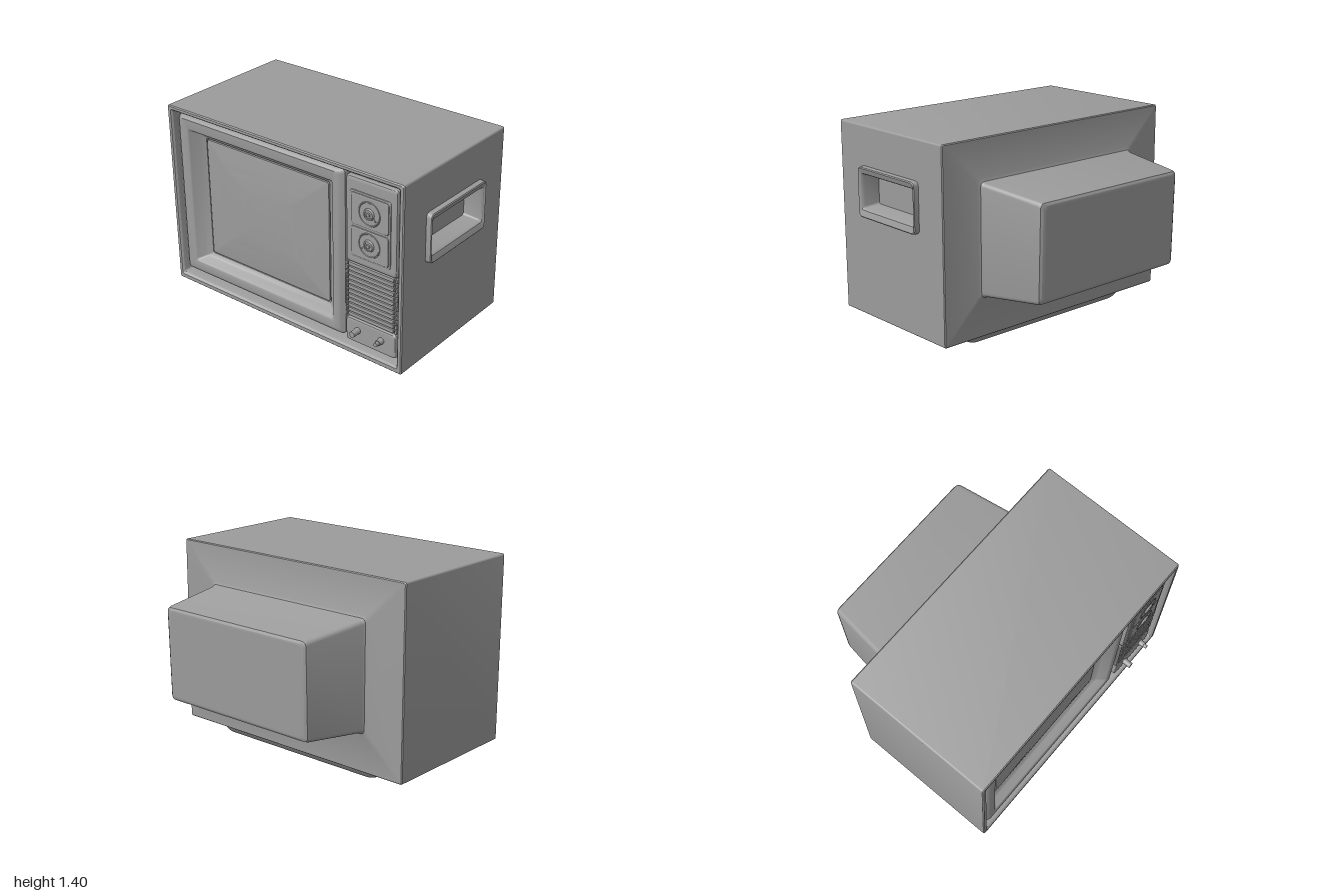
import * as THREE from 'three';
import { toCreasedNormals } from 'three/addons/utils/BufferGeometryUtils.js';

const N = 4; // segments per rounded corner

// Rounded rectangle [x0, x1, y0, y1, z, radius, tilt], counter-clockwise from +z
function ringPoints([x0, x1, y0, y1, z, r = 0.015, tilt = 0]) {
  const pts = [];
  const corners = [[x1 - r, y0 + r], [x1 - r, y1 - r], [x0 + r, y1 - r], [x0 + r, y0 + r]];
  corners.forEach(([cx, cy], k) => {
    for (let i = 0; i <= N; i++) {
      const a = (k - 1 + i / N) * Math.PI / 2;
      const y = cy + r * Math.sin(a);
      pts.push(new THREE.Vector3(cx + r * Math.cos(a), y, z + tilt * (y - (y0 + y1) / 2)));
    }
  });
  return pts;
}

// Skin through rings, running from the inside front, over the rim, to the back
function loft(rings, { start = true, end = false, skip = () => false } = {}) {
  const R = rings.map(ringPoints), out = [];
  const tri = (...p) => p.forEach(v => out.push(v.x, v.y, v.z));
  const M = R[0].length;
  const band = (A, B, skipSide = () => false) => {
    for (let j = 0; j < M; j++) {
      if (skipSide(j)) continue;
      const k = (j + 1) % M;
      tri(A[j], B[j], A[k]);
      tri(A[k], B[j], B[k]);
    }
  };
  for (let i = 0; i < R.length - 1; i++) band(R[i], R[i + 1], j => skip(i, j));
  // Caps have a narrow border so that their middle shades flat
  const cap = (ring, flip) => {
    const c = ring.reduce((s, p) => s.add(p), new THREE.Vector3()).divideScalar(M);
    const inner = ring.map(p => p.clone().lerp(c, 0.05));
    flip ? band(ring, inner) : band(inner, ring);
    for (let j = 0; j < M; j++) {
      const k = (j + 1) % M;
      flip ? tri(c, inner[k], inner[j]) : tri(c, inner[j], inner[k]);
    }
  };
  if (start) cap(R[0], false);
  if (end) cap(R[R.length - 1], true);
  const g = new THREE.BufferGeometry();
  g.setAttribute('position', new THREE.Float32BufferAttribute(out, 3));
  return toCreasedNormals(g, 0.5);
}

// Raised plate with a softened front edge
function plate(x0, x1, y0, y1, front, back, b = 0.012, r = 0.02) {
  const h = b * 0.35;
  return loft([
    [x0 + b, x1 - b, y0 + b, y1 - b, front, r],
    [x0 + h, x1 - h, y0 + h, y1 - h, front - h, r],
    [x0, x1, y0, y1, front - b, r],
    [x0, x1, y0, y1, back, r],
  ]);
}

function rectPath(P, x0, x1, y0, y1) {
  return new P([[x0, y0], [x1, y0], [x1, y1], [x0, y1]].map(([x, y]) => new THREE.Vector2(x, y)));
}

export function createModel() {
  const root = new THREE.Group();
  const mat = new THREE.MeshStandardMaterial({ color: 0x9c9c9c });
  const add = (name, geo, parent = root) => {
    const m = new THREE.Mesh(geo, mat);
    m.name = name;
    parent.add(m);
    return m;
  };

  // Cabinet: recessed front, rim, box, shallow sloped back and tube housing
  const RIM = 5;
  add('cabinet', loft([
    [-0.955, 0.915, 0.125, 1.36, 0.6],
    [-0.956, 0.916, 0.124, 1.361, 0.745],
    [-0.961, 0.921, 0.117, 1.366, 0.768],
    [-0.972, 0.932, 0.104, 1.376, 0.78],
    [-0.993, 0.953, 0.077, 1.394, 0.78],
    [-1, 0.96, 0.07, 1.401, 0.773, 0.012],
    [-1, 0.96, 0.07, 1.401, -0.299, 0.012],
    [-0.994, 0.954, 0.076, 1.395, -0.306, 0.012],
    [-0.725, 0.69, 0.33, 1.14, -0.318, 0.03],
    [-0.705, 0.67, 0.348, 1.122, -0.327, 0.03],
    [-0.697, 0.664, 0.356, 1.114, -0.345, 0.03],
    [-0.642, 0.612, 0.405, 1.072, -0.785, 0.03, -0.02],
    [-0.636, 0.606, 0.411, 1.066, -0.803, 0.03, -0.02],
    [-0.62, 0.59, 0.427, 1.05, -0.813, 0.03, -0.02],
  ], { end: true, skip: (i, j) => i === RIM && j === N }));

  // Side wall with an opening for the handle (drawn in -z, y and turned to face +x)
  const side = new THREE.Group();
  side.name = 'handleSide';
  side.rotation.y = Math.PI / 2;
  root.add(side);
  const wall = rectPath(THREE.Shape, -0.773, 0.299, 0.082, 1.389);
  wall.holes.push(rectPath(THREE.Path, -0.53, 0.045, 0.795, 1.11));
  add('sideWall', new THREE.ShapeGeometry(wall), side).position.z = 0.96;
  add('carryHandle', loft([
    [-0.5, 0.02, 0.85, 1.06, 0.86],
    [-0.512, 0.032, 0.838, 1.072, 0.965],
    [-0.516, 0.036, 0.834, 1.076, 0.978],
    [-0.522, 0.042, 0.828, 1.083, 0.988, 0.018],
    [-0.528, 0.048, 0.82, 1.09, 0.991, 0.02],
    [-0.538, 0.055, 0.787, 1.117, 1.0, 0.025],
    [-0.545, 0.062, 0.78, 1.124, 0.995, 0.03],
    [-0.547, 0.064, 0.777, 1.127, 0.957, 0.03],
  ]), side);

  // Plinth: sections stacked along z, then laid flat
  add('base', loft([
    [-0.75, 0.71, -0.735, 0.26, 0.09, 0.05],
    [-0.745, 0.705, -0.73, 0.255, 0.062, 0.05],
    [-0.71, 0.68, -0.7, 0.225, 0.012, 0.05],
    [-0.695, 0.665, -0.69, 0.215, 0, 0.05],
  ], { start: false, end: true }).rotateX(-Math.PI / 2));

  // Screen surround: gentle inner slope, steep step, flat face, rounded outer edge
  add('screenBezel', loft([
    [-0.75, 0.305, 0.312, 1.178, 0.62],
    [-0.757, 0.312, 0.303, 1.186, 0.672],
    [-0.798, 0.35, 0.275, 1.218, 0.692],
    [-0.842, 0.39, 0.25, 1.246, 0.745],
    [-0.849, 0.397, 0.243, 1.253, 0.751],
    [-0.858, 0.404, 0.234, 1.262, 0.753],
    [-0.91, 0.436, 0.185, 1.322, 0.755, 0.02],
    [-0.93, 0.458, 0.165, 1.335, 0.745, 0.025],
    [-0.942, 0.476, 0.15, 1.344, 0.725, 0.03],
    [-0.945, 0.479, 0.147, 1.347, 0.6, 0.03],
  ], { start: false }));

  // Bulged screen
  const dome = [];
  for (let i = 1; i <= 10; i++) {
    const t = i / 10, w = 0.526 * t, h = 0.433 * t;
    dome.push([-0.2225 - w, -0.2225 + w, 0.745 - h, 0.745 + h, 0.705 - 0.03 * t * t, 0.015 * t]);
  }
  dome.push([-0.752, 0.307, 0.309, 1.181, 0.63]);
  add('screen', loft(dome));

  // Control column
  add('controlBacking', plate(0.496, 0.904, 0.14, 1.345, 0.722, 0.6));
  add('dialPanel', plate(0.503, 0.895, 0.735, 1.335, 0.755, 0.7, 0.014));
  add('dialSurround', plate(0.538, 0.852, 0.785, 1.25, 0.762, 0.74, 0.008));

  const dialProfile = [[0, 0.018], [0.012, 0.018], [0.014, 0.01], [0.024, 0.01], [0.026, 0.015],
    [0.034, 0.015], [0.04, 0.003], [0.074, 0.002], [0.077, 0.005], [0.082, 0.005], [0.085, 0]]
    .map(([r, y]) => new THREE.Vector2(r, y)).reverse();
  [[1.125, 1.018, 1.238, -0.6], [0.908, 0.798, 1.006, 3.7]].forEach(([y, y0, y1, angle]) => {
    const dial = new THREE.Group();
    dial.name = 'channelDial';
    root.add(dial);
    add('dialPlate', plate(0.55, 0.84, y0, y1, 0.768, 0.75, 0.006), dial);
    const knob = add('dialKnob',
      toCreasedNormals(new THREE.LatheGeometry(dialProfile, 40).rotateX(Math.PI / 2).toNonIndexed(), 0.5), dial);
    knob.position.set(0.695, y, 0.767);
    const pointer = add('dialPointer', new THREE.BoxGeometry(0.03, 0.008, 0.008), dial);
    pointer.position.set(0.695 + 0.05 * Math.cos(angle), y + 0.05 * Math.sin(angle), 0.771);
    pointer.rotation.z = angle;
  });

  // Speaker grille: slats notched near both ends, with uprights behind the notches
  const SLATS = 12;
  for (let i = 0; i < SLATS; i++) {
    const y = 0.347 + i * 0.0335;
    for (const [x0, x1] of [[0.497, 0.51], [0.52, 0.873], [0.885, 0.9]]) {
      add('grilleSlat', plate(x0, x1, y - 0.013, y + 0.013, 0.752, 0.71, 0.003, 0.003));
    }
  }
  for (const x of [0.515, 0.879]) {
    add('grilleUpright', new THREE.BoxGeometry(0.014, 0.4, 0.03)).position.set(x, 0.53, 0.722);
  }

  // Lower panel with two small knobs
  add('knobPanel', plate(0.5, 0.897, 0.148, 0.322, 0.757, 0.7, 0.014));
  for (const [x, r] of [[0.6, 0.021], [0.787, 0.014]]) {
    const stem = add('smallKnob', new THREE.CylinderGeometry(r, r, 0.068, 20).rotateX(Math.PI / 2));
    stem.position.set(x, 0.248, 0.786);
    const collar = add('knobCollar', new THREE.CylinderGeometry(0.02, 0.023, 0.04, 20).rotateX(Math.PI / 2));
    collar.position.set(x, 0.248, 0.775);
  }
  return root;
}
